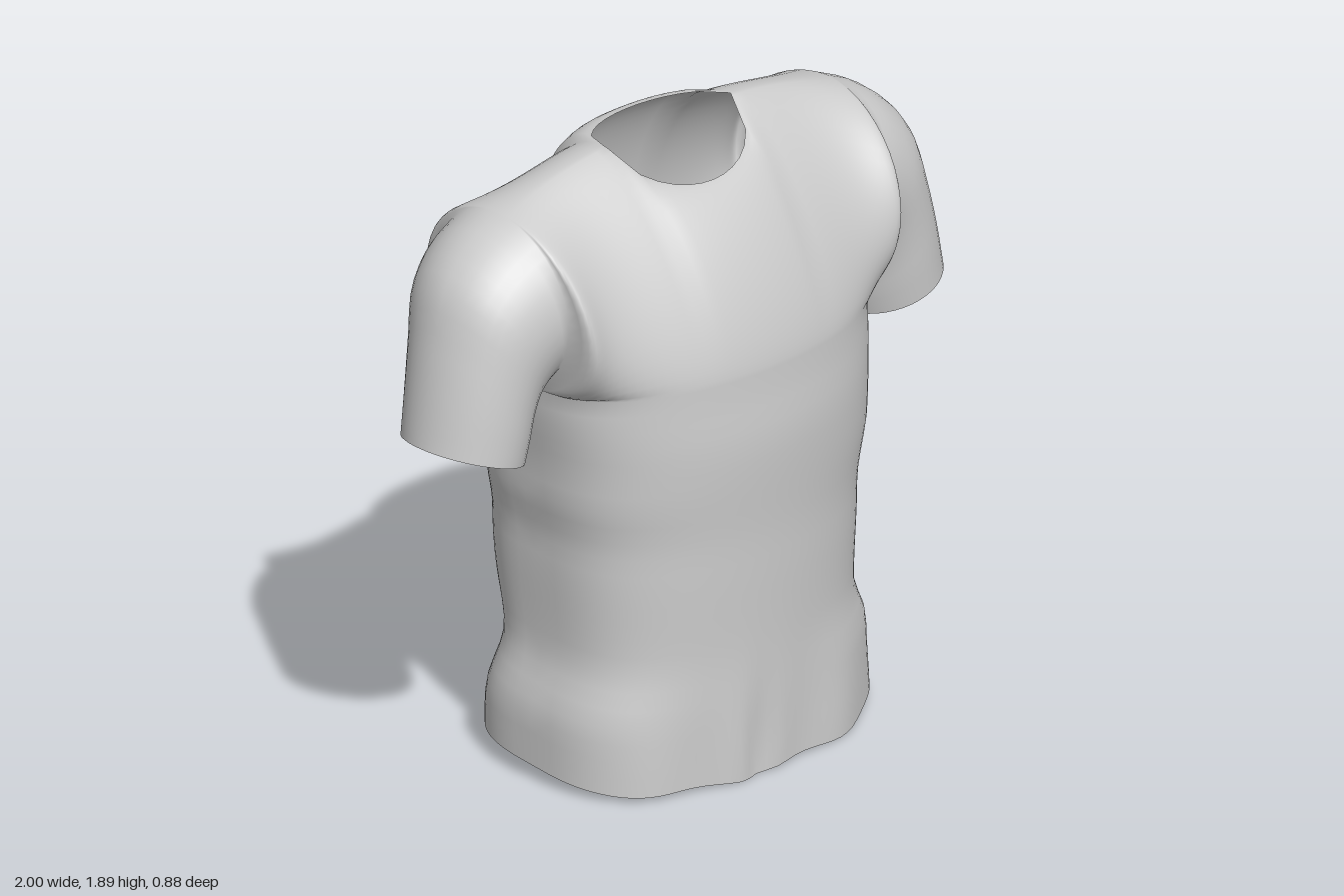
import * as THREE from 'three';
import { mergeVertices, mergeGeometries } from 'three/addons/utils/BufferGeometryUtils.js';

const COLS = 48, LOW = 24, UP = 20, SLEEVE = 14;
const NECK = Math.sin(THREE.MathUtils.degToRad(22.5)); // neck edge as a fraction of half width
const ARMPIT = 1.27;

// Smooth lookup through a few [y, value] pairs
function profile(pts) {
  return (y) => {
    let i = 0;
    while (i < pts.length - 2 && y > pts[i + 1][0]) i++;
    const [a, b] = [pts[i], pts[i + 1]];
    const t = THREE.MathUtils.smoothstep(y, a[0], b[0]);
    return a[1] + (b[1] - a[1]) * t;
  };
}
const widthLeft = profile([[0, 0.595], [0.25, 0.585], [0.41, 0.53], [0.7, 0.545], [0.95, 0.59], [1.27, 0.605]]);
const widthRight = profile([[0, 0.565], [0.2, 0.565], [0.41, 0.52], [0.75, 0.535], [0.95, 0.567], [1.27, 0.605]]);
const depthFront = profile([[0, 0.43], [0.4, 0.42], [0.7, 0.425], [1.05, 0.44], [1.27, 0.425]]);
const depthBack = profile([[0, 0.445], [0.12, 0.44], [0.37, 0.385], [0.6, 0.41], [1, 0.4], [1.27, 0.41]]);
const bump = (x, y, cx, cy, rx, ry) => Math.exp(-(((x - cx) / rx) ** 2) - ((y - cy) / ry) ** 2);

// Sleeve rings: outer x, outer y, inner x, inner y, centre z, half depth
const rings = [
  [0.66, 1.81, 0.605, ARMPIT, -0.05, 0.265],
  [0.77, 1.755, 0.615, 1.25, -0.05, 0.255],
  [0.875, 1.655, 0.625, 1.225, -0.04, 0.235],
  [0.93, 1.5, 0.64, 1.19, -0.025, 0.213],
  [0.97, 1.34, 0.652, 1.14, -0.015, 0.2],
  [1.0, 1.19, 0.668, 1.085, -0.01, 0.19],
];
const outer = new THREE.CatmullRomCurve3(rings.map((r) => new THREE.Vector3(r[0], r[1], r[4])));
const inner = new THREE.CatmullRomCurve3(rings.map((r) => new THREE.Vector3(r[2], r[3], r[5])));

// Point on a sleeve: k runs from armhole to cuff, t from armpit to shoulder
function sleevePoint(k, t, s) {
  const o = outer.getPoint(k), n = inner.getPoint(k);
  const m = (1 - Math.cos(Math.PI * t)) / 2;
  return new THREE.Vector3(
    n.x + (o.x - n.x) * m,
    n.y + (o.y - n.y) * m,
    o.z + s * n.z * Math.max(0, Math.sin(Math.PI * t)),
  );
}

// Point on the torso below the armpits
function lowerPoint(a, t, s) {
  const u = Math.sin(a), c = Math.max(0, Math.cos(a)) ** 0.65;
  const hem = 0.052 - s * 0.043 * c + 0.006 * Math.sin(9 * u) * c;
  const y = hem + (ARMPIT - hem) * t;
  const zSide = -0.05 * t;
  const x = u * (u > 0 ? widthLeft(y) : widthRight(y));
  const zEnd = s > 0 ? depthFront(y) : -depthBack(y);
  let z = zSide + (zEnd - zSide) * c;
  // Soft folds in the cloth
  const low = Math.exp(-((y / 0.25) ** 2));
  if (s > 0) z -= c * (0.03 * bump(x, y, -0.07, 0.05, 0.05, 0.2) + 0.012 * low * Math.sin(17 * x));
  else z += c * (0.02 * bump(x, y, 0.02, 0.95, 0.09, 0.5) + 0.035 * bump(x, y, -0.4, 0.42, 0.12, 0.16)
    + 0.02 * bump(x, y, 0.38, 0.45, 0.1, 0.14) + 0.015 * low * Math.cos(14 * x));
  return new THREE.Vector3(x, y, z);
}

// Point on the chest, back and shoulders, blending into the armholes
function upperPoint(a, t, s) {
  const u = Math.sin(a), v = Math.abs(u), side = Math.sign(u);
  const A = lowerPoint(a, 1, s);
  const T = new THREE.Vector3(u * 0.66, 0, -0.03);
  if (v < NECK - 1e-6) {
    const e = Math.sqrt(1 - (v / NECK) ** 2);
    T.z += s > 0 ? 0.19 * e : -0.17 * e;
    T.y = 1.895 - (s > 0 ? 0.125 : 0.025) * e;
  } else {
    const k = Math.max(0, (v - NECK) / (1 - NECK));
    T.y = 1.895 - 0.085 * k ** 1.4;
    T.z -= 0.02 * k;
  }
  const q = s > 0 ? 1.4 : 1;
  const up = Math.sin(t * Math.PI / 2) ** q, across = Math.max(0, Math.cos(t * Math.PI / 2)) ** q;
  const p = new THREE.Vector3(
    A.x + (T.x - A.x) * t,
    A.y + (T.y - A.y) * up,
    T.z + (A.z - T.z) * across,
  );
  const w = v ** 6;
  const ring = sleevePoint(0, t, s);
  p.x += w * side * (ring.x - (0.605 + 0.055 * t));
  p.y += w * (ring.y - (ARMPIT + 0.54 * up));
  p.z += w * (ring.z + 0.05);
  return p;
}

// Grid surface from a point rule
function sheet(nu, nv, rule, flip) {
  const pos = [], idx = [];
  for (let j = 0; j <= nv; j++) for (let i = 0; i <= nu; i++) pos.push(...rule(i / nu, j / nv).toArray());
  for (let j = 0; j < nv; j++) for (let i = 0; i < nu; i++) {
    const a = j * (nu + 1) + i, b = a + 1, d = a + nu + 1, c = d + 1;
    if (flip) idx.push(a, c, b, a, d, c);
    else idx.push(a, b, c, a, c, d);
  }
  const g = new THREE.BufferGeometry();
  g.setAttribute('position', new THREE.Float32BufferAttribute(pos, 3));
  g.setIndex(idx);
  return g;
}

function weld(list) {
  const g = mergeVertices(mergeGeometries(list), 1e-4);
  g.computeVertexNormals();
  return g;
}

export function createModel() {
  const group = new THREE.Group();
  group.name = 'shirt';
  const cloth = new THREE.MeshStandardMaterial({ color: 0xcccccc, side: THREE.DoubleSide });
  cloth.name = 'light grey cloth';

  const panels = [], hems = [];
  const angle = (i) => (i - 0.5) * Math.PI;
  for (const s of [1, -1]) {
    // Front and back panels
    panels.push(sheet(COLS, LOW, (i, j) => lowerPoint(angle(i), j, s), s < 0));
    panels.push(sheet(COLS, UP, (i, j) => upperPoint(angle(i), j, s), s < 0));
    // Sleeve halves, mirrored left and right
    for (const m of [1, -1]) {
      panels.push(sheet(SLEEVE, UP, (i, j) => {
        const p = sleevePoint(i, j, s);
        p.x *= m;
        return p;
      }, s * m < 0));
    }
    // Narrow turned-in hem
    hems.push(sheet(COLS, 1, (i, j) => {
      const p = lowerPoint(angle(i), 0, s);
      const k = 1 - 0.06 * (1 - j);
      return p.set(p.x * k, p.y + 0.008 * (1 - j), p.z * k);
    }, s < 0));
  }

  const body = new THREE.Mesh(weld(panels), cloth);
  body.name = 'bodyAndSleeves';
  const hem = new THREE.Mesh(weld(hems), cloth);
  hem.name = 'hem';
  group.add(body, hem);
  return group;
}
